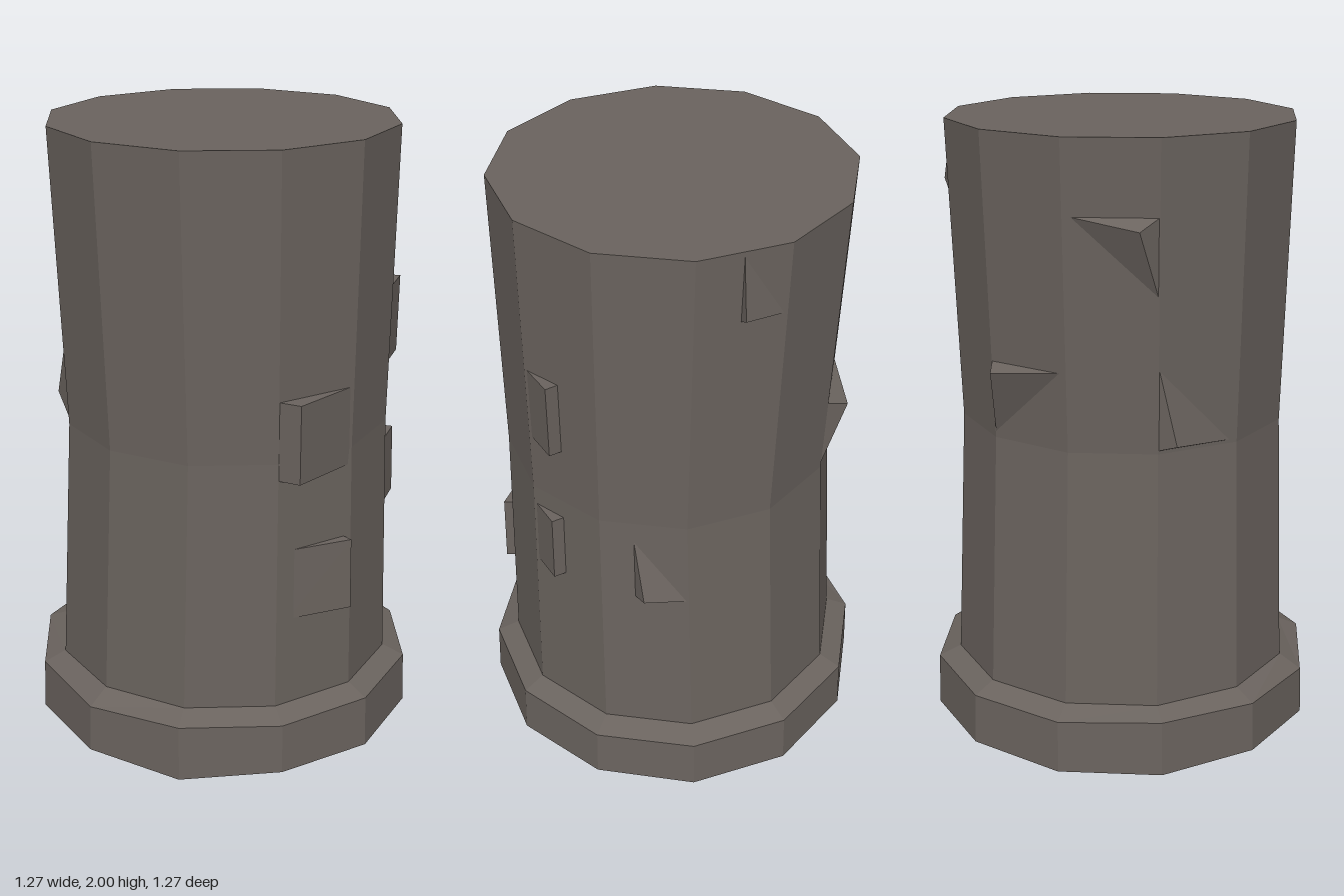
import * as THREE from 'three';
import { ConvexGeometry } from 'three/addons/geometries/ConvexGeometry.js';

const SIDES = 12;
const stone = new THREE.MeshStandardMaterial({ color: 0x6a635e, flatShading: true });
stone.name = 'weathered stone';

// Shaft rings: height, radius and centre offset (slightly pinched and shifted at the waist)
const shaftRings = [
  { y: 0.215, r: 0.56, x: 0, z: 0 },
  { y: 1.04, r: 0.53, x: 0.013, z: 0.007 },
  { y: 2, r: 0.56, x: 0, z: 0 },
];

// Corner i of the twelve-sided ring; corner 0 faces +z, corner 3 faces +x
function corner(ring, i) {
  const a = (i / SIDES) * Math.PI * 2;
  return new THREE.Vector3(ring.x + Math.sin(a) * ring.r, ring.y, ring.z + Math.cos(a) * ring.r);
}

// Point on shaft face i, t from its first to its second corner, pushed out by a distance
function onShaft(i, t, y, out = 0) {
  const k = y > shaftRings[1].y ? 1 : 0;
  const lo = shaftRings[k], hi = shaftRings[k + 1];
  const f = (y - lo.y) / (hi.y - lo.y);
  const ring = {
    y,
    r: THREE.MathUtils.lerp(lo.r, hi.r, f),
    x: THREE.MathUtils.lerp(lo.x, hi.x, f),
    z: THREE.MathUtils.lerp(lo.z, hi.z, f),
  };
  const a = ((i + 0.5) / SIDES) * Math.PI * 2;
  const p = corner(ring, i).lerp(corner(ring, i + 1), t);
  return p.add(new THREE.Vector3(Math.sin(a) * out, 0, Math.cos(a) * out));
}

// Closed loft through loops of corner points, with a fan cap at each end
function loft(loops) {
  const pos = [];
  const tri = (...pts) => pts.forEach((p) => pos.push(p.x, p.y, p.z));
  const middle = (loop) => loop.reduce((s, p) => s.add(p), new THREE.Vector3()).divideScalar(loop.length);
  const first = loops[0], last = loops[loops.length - 1];
  const bottom = middle(first), top = middle(last);
  for (let i = 0; i < SIDES; i++) {
    const j = (i + 1) % SIDES;
    for (let k = 0; k < loops.length - 1; k++) {
      const lo = loops[k], hi = loops[k + 1];
      tri(lo[i], lo[j], hi[j]);
      tri(lo[i], hi[j], hi[i]);
    }
    tri(bottom, first[j], first[i]);
    tri(top, last[i], last[j]);
  }
  const g = new THREE.BufferGeometry();
  g.setAttribute('position', new THREE.Float32BufferAttribute(pos, 3));
  g.computeVertexNormals();
  return g;
}

const loop = (ring, dy = () => 0) =>
  Array.from({ length: SIDES }, (_, i) => {
    const p = corner(ring, i);
    p.y += dy(i);
    return p;
  });

// Full-height brick: flush along one edge, standing proud along the other
function wedgeBrick({ face, flush, root, proud, out, y0, y1 }) {
  const pts = [];
  for (const y of [y0, y1]) {
    pts.push(onShaft(face, flush, y, -0.004), onShaft(face, root, y, -0.004), onShaft(face, proud, y, out));
  }
  return new ConvexGeometry(pts);
}

// Chipped brick: one proud point, fading sideways to flush and vertically to fade
function chippedBrick({ face, root, flush, proud, out, y, yProud, fade }) {
  return new ConvexGeometry([
    onShaft(face, root, y, -0.003),
    onShaft(face, flush, y, -0.003),
    onShaft(face, root, fade, -0.003),
    onShaft(face, proud, yProud, out),
  ]);
}

export function createModel() {
  const group = new THREE.Group();
  group.name = 'stoneColumn';
  const add = (name, geometry) => {
    const mesh = new THREE.Mesh(geometry, stone);
    mesh.name = name;
    group.add(mesh);
  };

  add('shaft', loft(shaftRings.map((ring) => loop(ring))));

  // Foot with a slightly uneven lower and upper edge and a bevel up to the shaft
  const ring = (y, r) => ({ y, r, x: 0, z: 0 });
  add('foot', loft([
    loop(ring(0.016, 0.637), (i) => (i === 0 ? -0.016 : 0.004 * Math.sin(i * 2))),
    loop(ring(0.185, 0.632), (i) => (i === 11 ? -0.012 : i === 9 ? 0.008 : 0)),
    loop(ring(0.217, 0.562)),
  ]));

  const wedges = [
    { face: 1, flush: 1, root: 0, proud: 0.14, out: 0.06, y0: 0.985, y1: 1.24 },
    { face: 1, flush: 0.15, root: 0.9, proud: 0.92, out: 0.035, y0: 0.51, y1: 0.745 },
    { face: 3, flush: 0, root: 0.48, proud: 0.43, out: 0.04, y0: 1.24, y1: 1.49 },
    { face: 3, flush: 0, root: 0.46, proud: 0.4, out: 0.038, y0: 0.75, y1: 0.975 },
  ];
  wedges.forEach((w, i) => add(`wedgeBrick${i + 1}`, wedgeBrick(w)));

  const chips = [
    { face: 4, root: 0.38, flush: 1, proud: 0.52, out: 0.05, y: 0.75, yProud: 0.77, fade: 0.98 },
    { face: 5, root: 0.5, flush: 1, proud: 0.5, out: 0.035, y: 1.77, yProud: 1.79, fade: 1.998 },
    { face: 7, root: 0, flush: 0.95, proud: 0.14, out: 0.06, y: 1.29, yProud: 1.27, fade: 1.05 },
    { face: 8, root: 1, flush: 0.05, proud: 0.8, out: 0.05, y: 1.77, yProud: 1.735, fade: 1.52 },
    { face: 9, root: 0, flush: 0.95, proud: 0.15, out: 0.045, y: 1.05, yProud: 1.07, fade: 1.32 },
  ];
  chips.forEach((c, i) => add(`chippedBrick${i + 1}`, chippedBrick(c)));

  return group;
}
